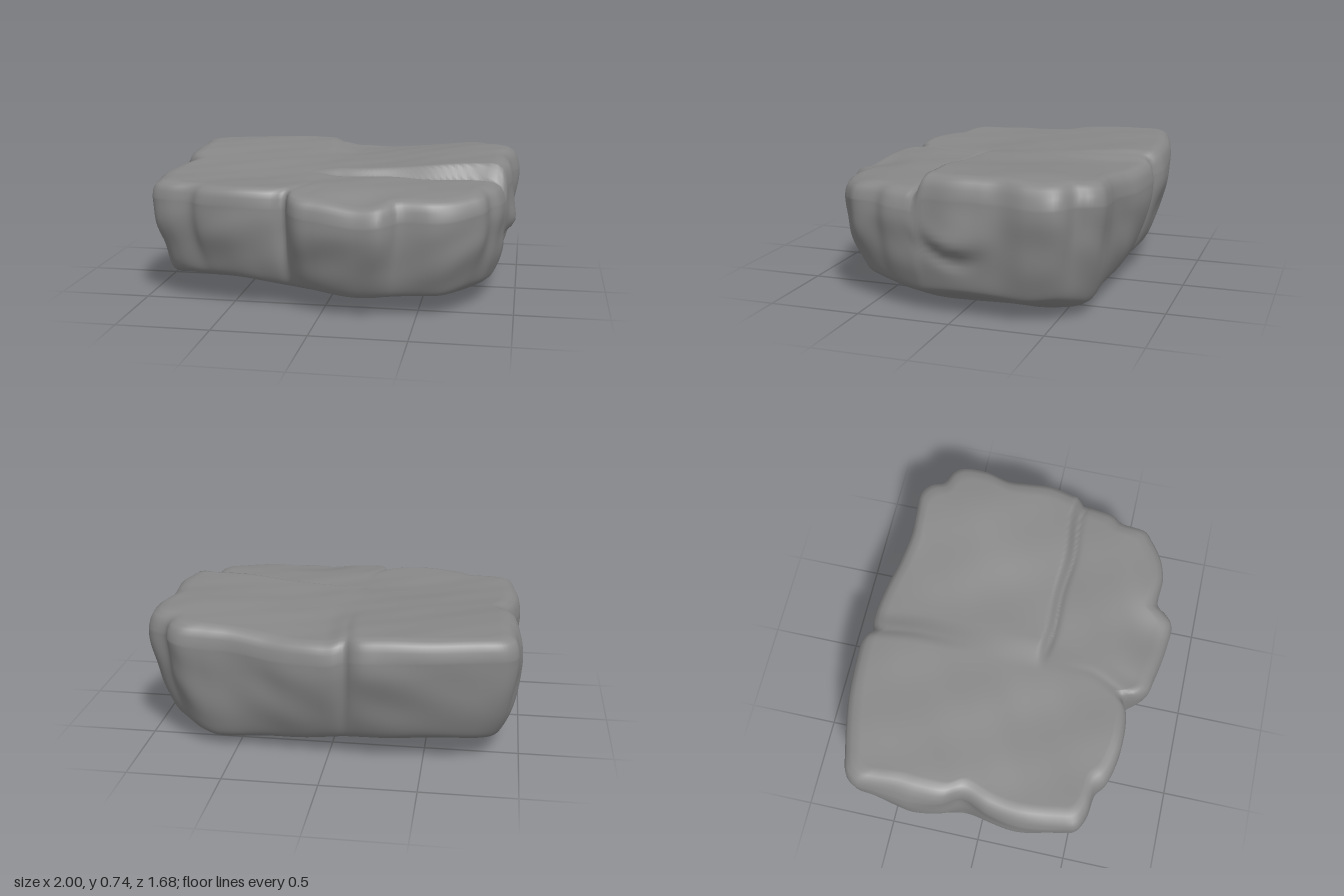
import * as THREE from 'three';

// Plan outline of the slab (x, z), starting at the back right corner.
const OUTLINE = [
  [-0.965, -0.67], [-0.92, -0.725], [-0.8, -0.76], [-0.67, -0.79], [-0.5, -0.82], [-0.3, -0.835], [-0.18, -0.835],
  [-0.13, -0.815], [-0.1, -0.79], [-0.04, -0.81], [0.05, -0.81], [0.2, -0.79], [0.35, -0.755], [0.52, -0.73],
  [0.65, -0.735], [0.78, -0.735], [0.84, -0.69], [0.87, -0.62], [0.95, -0.58], [0.985, -0.53], [0.99, -0.4],
  [0.955, -0.26], [0.96, -0.15], [0.97, 0], [0.945, 0.13], [0.93, 0.25], [0.91, 0.37], [0.87, 0.44],
  [0.85, 0.58], [0.8, 0.63], [0.7, 0.7], [0.6, 0.73], [0.42, 0.73], [0.38, 0.78], [0.33, 0.825], [0.2, 0.82],
  [0, 0.79], [-0.1, 0.77], [-0.15, 0.72], [-0.185, 0.64], [-0.25, 0.67], [-0.35, 0.685], [-0.5, 0.68],
  [-0.65, 0.64], [-0.71, 0.59], [-0.85, 0.57], [-0.93, 0.53], [-0.95, 0.45], [-0.975, 0.22], [-0.95, 0.05],
  [-0.905, -0.1], [-0.955, -0.2], [-0.96, -0.35], [-0.955, -0.45], [-0.965, -0.6],
];
// Side section: inset (0 = outline, 1 = foot of the flank) and height fraction.
const FLANK = [[1.7, 0], [1.3, 0.01], [0.9, 0.05], [0.55, 0.2], [0.25, 0.42], [0.05, 0.65], [0, 0.82]];
const SHOULDER = [[0.007, 0.9], [0.024, 0.96], [0.055, 0.99], [0.09, 1]]; // inset as a fraction of the radius

const { smoothstep, lerp } = THREE.MathUtils;
const bell = (d, w) => Math.exp(-(d * d) / (w * w));

// Gentle weathering made of a few crossed waves.
const ripple = (x, y, z) =>
  Math.sin(5.1 * x + 2.3 * z + 3 * y) * 0.4 + Math.sin(8.7 * z - 3.9 * x + 5 * y + 1) * 0.35 +
  Math.sin(13 * x + 9 * z - 6 * y + 2) * 0.25;

// Three upper blocks, parted by a long seam in x and a stepped crack in z.
function topHeight(x, z) {
  const seam = -0.08 - 0.1 * smoothstep(z, 0.4, 0.7) - 0.03 * smoothstep(-z, 0.5, 0.8);
  const crack = 0.15 + 0.02 * smoothstep(x, 0, 0.4) + 0.008 * Math.sin(14 * x);
  const rightBlock = 0.662 + 0.055 * smoothstep(-z, -0.4, 0.7);
  const backBlock = 0.688 + 0.055 * smoothstep(x, 0.1, 0.85) - 0.015 * smoothstep(-z, 0.3, 0.8);
  const frontBlock = 0.66 - 0.025 * smoothstep(z, 0.45, 0.8) - 0.03 * bell(x - 0.22, 0.15) * bell(z - 0.8, 0.2);
  const leftSide = smoothstep(x, seam - 0.06, seam + 0.12);
  const left = lerp(backBlock, frontBlock, smoothstep(z, crack - 0.02, crack + 0.035));
  const cut = 0.018 * bell(z - crack - 0.025, 0.022) * smoothstep(x, -0.1, 0.05);
  const groove = 0.007 * bell(x - seam, 0.025) * smoothstep(Math.abs(z), 0.2, 0.8);
  return lerp(rightBlock, left, leftSide) - cut - groove +
    0.005 * ripple(x, 0, z) + 0.004 * ripple(2.1 * z, 1, 1.7 * x);
}

// Rounded underside, lowest below the left half.
function bottomHeight(x, z) {
  return 0.012 + 0.07 * smoothstep(-x, -0.3, 0.8) + 0.11 * smoothstep(x, 0.6, 0.95) +
    0.09 * smoothstep(Math.abs(z + 0.1), 0.25, 0.75) + 0.012 * ripple(x, 1, z);
}

function slabGeometry() {
  const count = 320;
  const curve = new THREE.CatmullRomCurve3(OUTLINE.map(([x, z]) => new THREE.Vector3(x, 0, z)), true);
  const rim = curve.getSpacedPoints(count).slice(0, count);

  // The notches of the outline soften towards the foot.
  const foot = rim.map((_, j) => {
    const mean = new THREE.Vector3();
    for (let k = -10; k <= 10; k++) mean.addScaledVector(rim[(j + k + count) % count], 1 / 21);
    return mean;
  });

  // Rings run from the middle of the underside, up the flank, to the middle of the top.
  const rings = [];
  for (let i = 0; i < 20; i++) rings.push({ core: i / 20, inset: 1.7, f: 0 });
  const flank = new THREE.SplineCurve(FLANK.map(([a, b]) => new THREE.Vector2(a, b)));
  for (const p of flank.getPoints(28)) rings.push({ core: 1, inset: p.x, f: Math.max(0, p.y) });
  for (const [cut, f] of SHOULDER) rings.push({ core: 1 - cut, inset: 0, f });
  for (let i = 1; i <= 55; i++) rings.push({ core: 0.91 * (1 - i / 55), inset: 0, f: 1 });

  const position = [];
  const p = new THREE.Vector3();
  for (const { core, inset, f } of rings) {
    for (let j = 0; j < count; j++) {
      p.lerpVectors(foot[j], rim[j], smoothstep(f, -0.3, 0.8));
      const slope = 0.06 + 0.12 * (p.z / p.length()) ** 2; // front and back undercut more than the ends
      const mid = Math.sin(Math.PI * f);
      let bulge = 0.014 * mid * ripple(p.x, 2 * f, p.z);
      if (p.x < 0) {
        // Swelling on the right end.
        bulge += 0.045 * mid * bell(p.z + 0.38, 0.16);
      } else {
        // Curved hollow with a lump above it on the left end.
        const d = f - 0.29 - 3 * (p.z + 0.05) ** 2;
        bulge += 0.015 * mid * bell(p.z, 0.5) +
          bell(p.z - 0.02, 0.13) * (0.018 * bell(d - 0.14, 0.09) - 0.028 * bell(d, 0.07));
      }
      const s = core * (1 - slope * inset + bulge);
      const x = p.x * s, z = p.z * s;
      position.push(x, lerp(bottomHeight(x, z), topHeight(x, z), f), z);
    }
  }

  const index = [];
  for (let i = 0; i < rings.length - 1; i++) {
    for (let j = 0; j < count; j++) {
      const k = (j + 1) % count;
      const a = i * count + j, b = i * count + k, c = a + count, d = b + count;
      index.push(a, c, b, b, c, d);
    }
  }
  const geometry = new THREE.BufferGeometry();
  geometry.setAttribute('position', new THREE.Float32BufferAttribute(position, 3));
  geometry.setIndex(index);

  // Centre it and stand it on the ground.
  geometry.computeBoundingBox();
  const box = geometry.boundingBox;
  const centre = box.getCenter(new THREE.Vector3());
  geometry.translate(-centre.x, -box.min.y, -centre.z);
  geometry.computeVertexNormals();
  return geometry;
}

export function createModel() {
  const group = new THREE.Group();
  group.name = 'rock';
  const slab = new THREE.Mesh(slabGeometry(), new THREE.MeshStandardMaterial({ color: 0x888888 }));
  slab.name = 'rockSlab';
  group.add(slab);
  return group;
}
